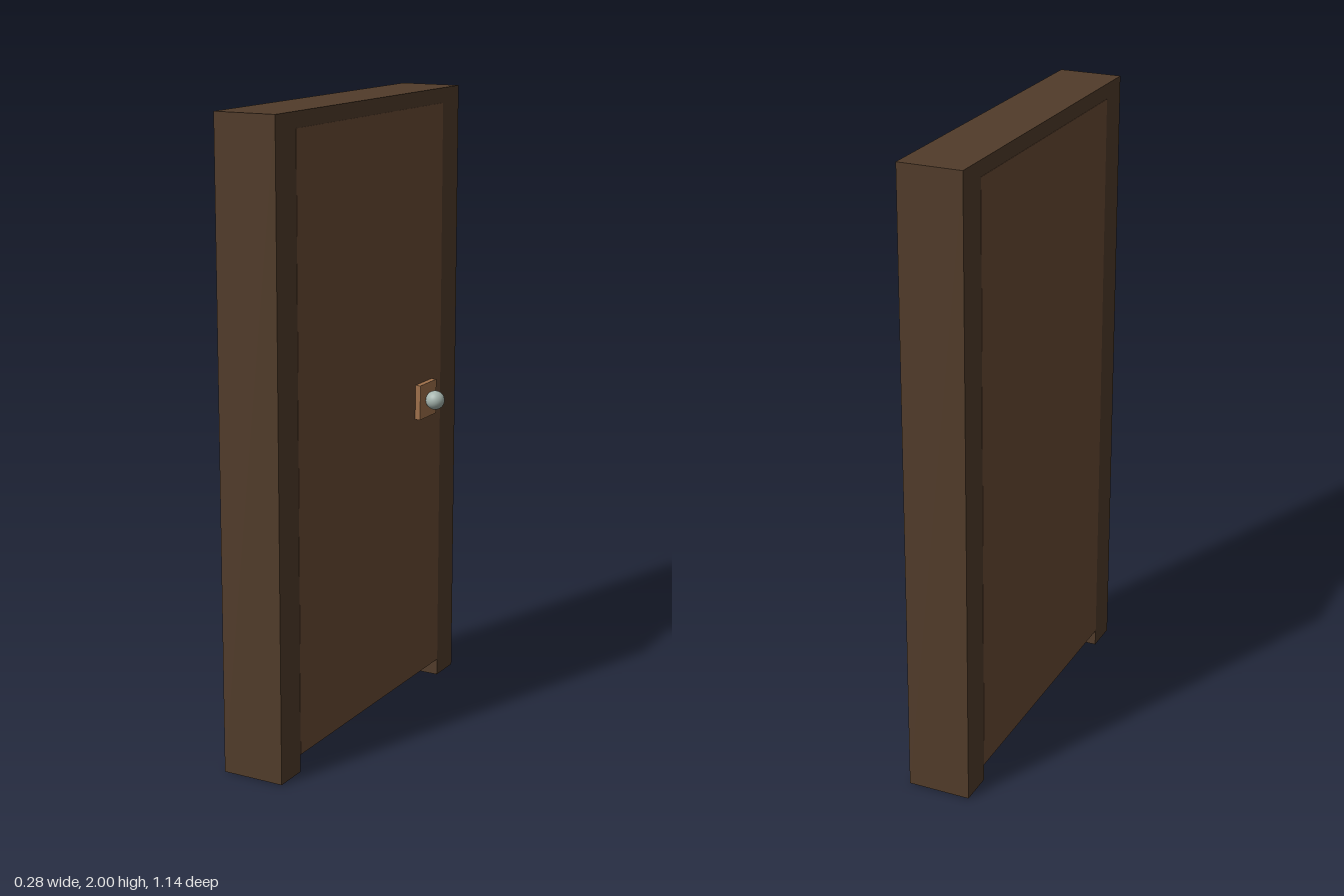
import * as THREE from 'three';

const mat = (color) => new THREE.MeshStandardMaterial({ color });

export function createModel() {
  const model = new THREE.Group();
  const frameMat = mat(0x513c2a);
  const add = (name, geometry, material, x, y, z) => {
    const mesh = new THREE.Mesh(geometry, material);
    mesh.name = name;
    mesh.position.set(x, y, z);
    model.add(mesh);
    return mesh;
  };

  const depth = 0.202, midX = -0.038;   // frame thickness and its centre
  const halfWidth = 0.571, jamb = 0.112;
  const opening = 2 * (halfWidth - jamb);

  // Frame: one continuous upside-down U, extruded through the wall
  const h = halfWidth, i = halfWidth - jamb, top = 2 - jamb;
  const outline = new THREE.Shape(
    [[-h, 0], [-i, 0], [-i, top], [i, top], [i, 0], [h, 0], [h, 2], [-h, 2]]
      .map(([u, v]) => new THREE.Vector2(u, v)));
  const frameGeo = new THREE.ExtrudeGeometry(outline, { depth, bevelEnabled: false });
  frameGeo.translate(0, 0, -depth / 2).rotateY(Math.PI / 2);
  add('doorFrame', frameGeo, frameMat, midX, 0, 0);

  // Door leaf: raised off the floor, lapping over the header by a hair
  const bottom = 0.056, leafTop = 1.952;
  add('doorLeaf', new THREE.BoxGeometry(depth + 0.002, leafTop - bottom, opening),
    mat(0x694b35), midX, (bottom + leafTop) / 2, 0);

  // Handle: square backing plate and round knob
  const handleZ = -0.338;
  add('handlePlate', new THREE.BoxGeometry(0.03, 0.114, 0.114), mat(0xa0714b), 0.067, 1.002, handleZ);
  add('knob', new THREE.SphereGeometry(0.031, 32, 20), mat(0xa6b5ae), 0.107, 1.003, handleZ);

  return model;
}
